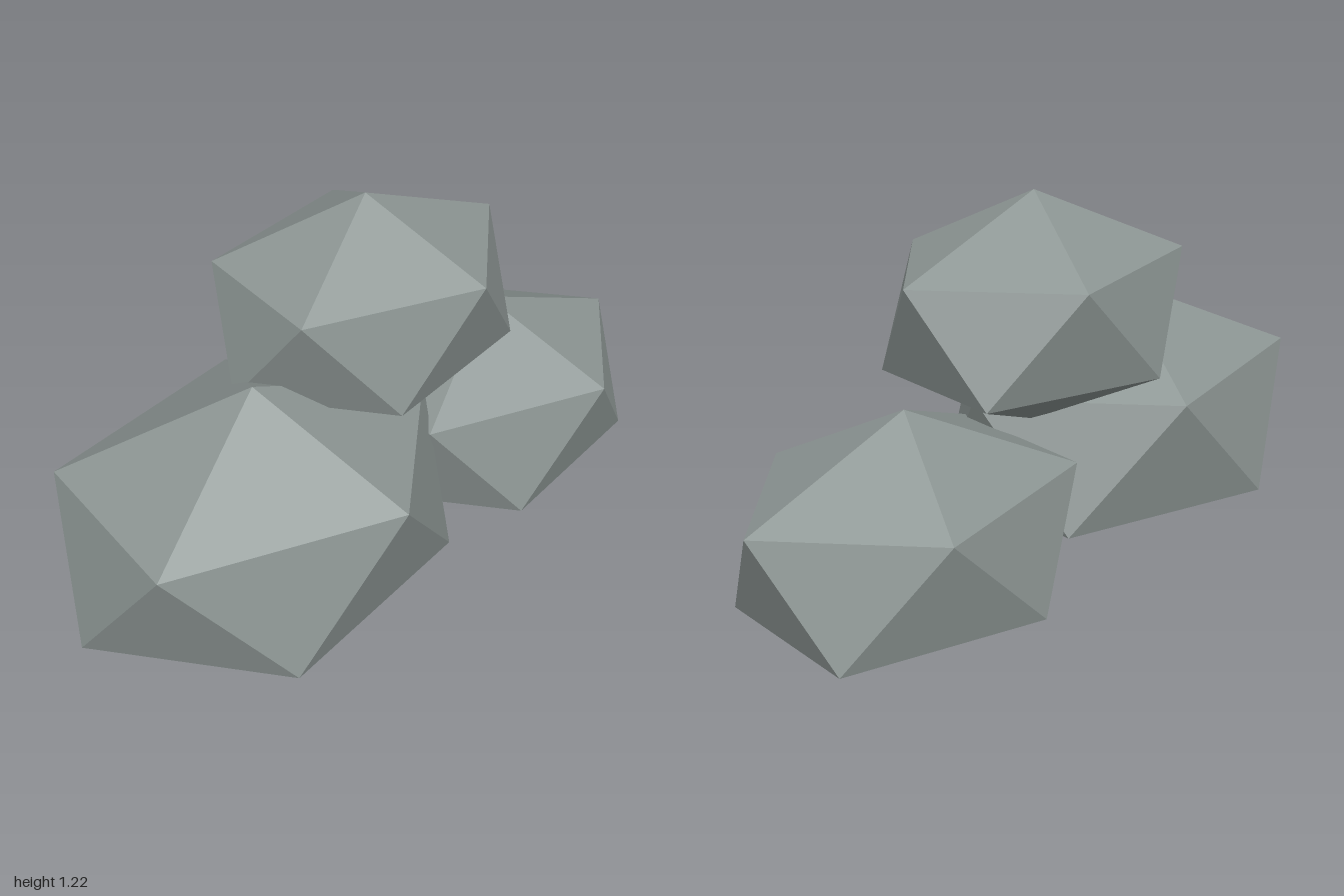
import * as THREE from 'three';

export function createModel() {
  const group = new THREE.Group();
  group.name = 'rockPile';

  const stone = new THREE.MeshStandardMaterial({ color: 0x8c9593, flatShading: true });
  stone.name = 'greyStone';

  // Unit icosahedron turned so one corner points straight up
  const gem = new THREE.IcosahedronGeometry(1, 0);
  gem.rotateZ(-Math.atan(2 / (1 + Math.sqrt(5))));

  // Each boulder is a stretched copy: name, centre, half sizes
  const boulders = [
    ['largeBoulder', [-0.42, 0.431, 0.026], [0.648, 0.419, 0.518]],
    ['mediumBoulder', [0.5, 0.36, -0.09], [0.559, 0.36, 0.441]],
    ['topBoulder', [0.04, 0.893, -0.09], [0.503, 0.33, 0.406]],
  ];
  for (const [name, centre, size] of boulders) {
    const geometry = gem.clone().scale(...size);
    geometry.computeVertexNormals();
    const boulder = new THREE.Mesh(geometry, stone);
    boulder.name = name;
    boulder.position.set(...centre);
    group.add(boulder);
  }
  return group;
}
